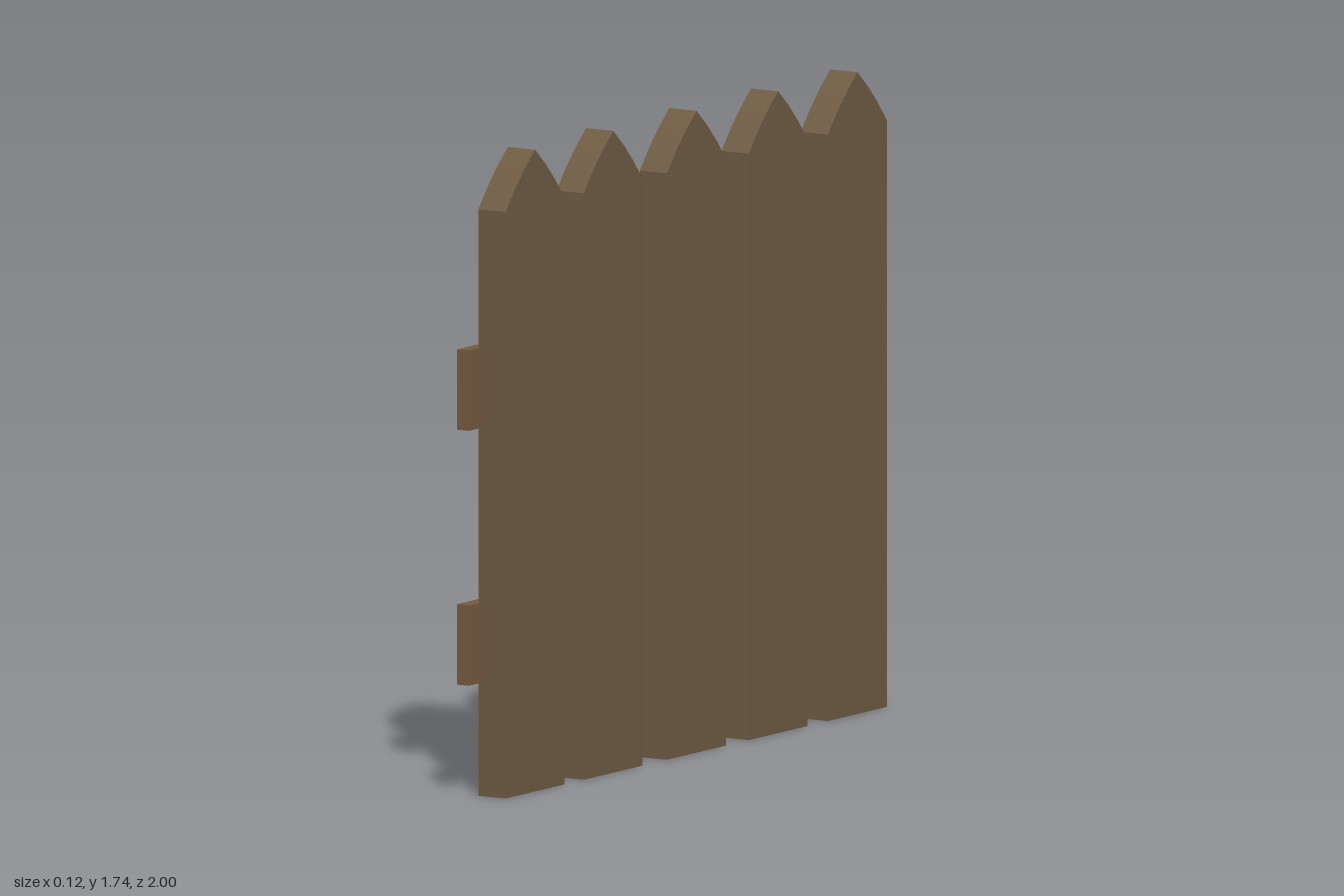
import * as THREE from 'three';

export function createModel() {
  const fence = new THREE.Group();
  fence.name = 'picketFence';

  const picketWood = new THREE.MeshStandardMaterial({ color: 0x6f5c44, flatShading: true });
  const railWood = new THREE.MeshStandardMaterial({ color: 0x775a40, flatShading: true });

  // Picket outline: straight board with a slightly bowed point
  const half = 0.145, shoulder = 1.59, tip = 1.74;
  const outline = new THREE.Shape();
  outline.moveTo(-half, 0);
  outline.lineTo(half, 0);
  outline.lineTo(half, shoulder);
  outline.quadraticCurveTo(0.081, 1.675, 0, tip);
  outline.quadraticCurveTo(-0.081, 1.675, -half, shoulder);
  outline.closePath();

  // Extruded along x, so the boards face +x
  const picketGeometry = new THREE.ExtrudeGeometry(outline, {
    depth: 0.087, bevelEnabled: false, curveSegments: 3,
  });
  picketGeometry.rotateY(Math.PI / 2);
  picketGeometry.translate(-0.03, 0, 0);

  [0.795, 0.41, 0, -0.402, -0.792].forEach((z, i) => {
    const picket = new THREE.Mesh(picketGeometry, picketWood);
    picket.name = `picket${i + 1}`;
    picket.position.z = z;
    fence.add(picket);
  });

  // Two rails run along the back, set slightly into the pickets
  const railGeometry = new THREE.BoxGeometry(0.038, 0.218, 2);
  [['lowerRail', 0.416], ['upperRail', 1.107]].forEach(([name, y]) => {
    const rail = new THREE.Mesh(railGeometry, railWood);
    rail.name = name;
    rail.position.set(-0.04, y, 0);
    fence.add(rail);
  });

  return fence;
}
